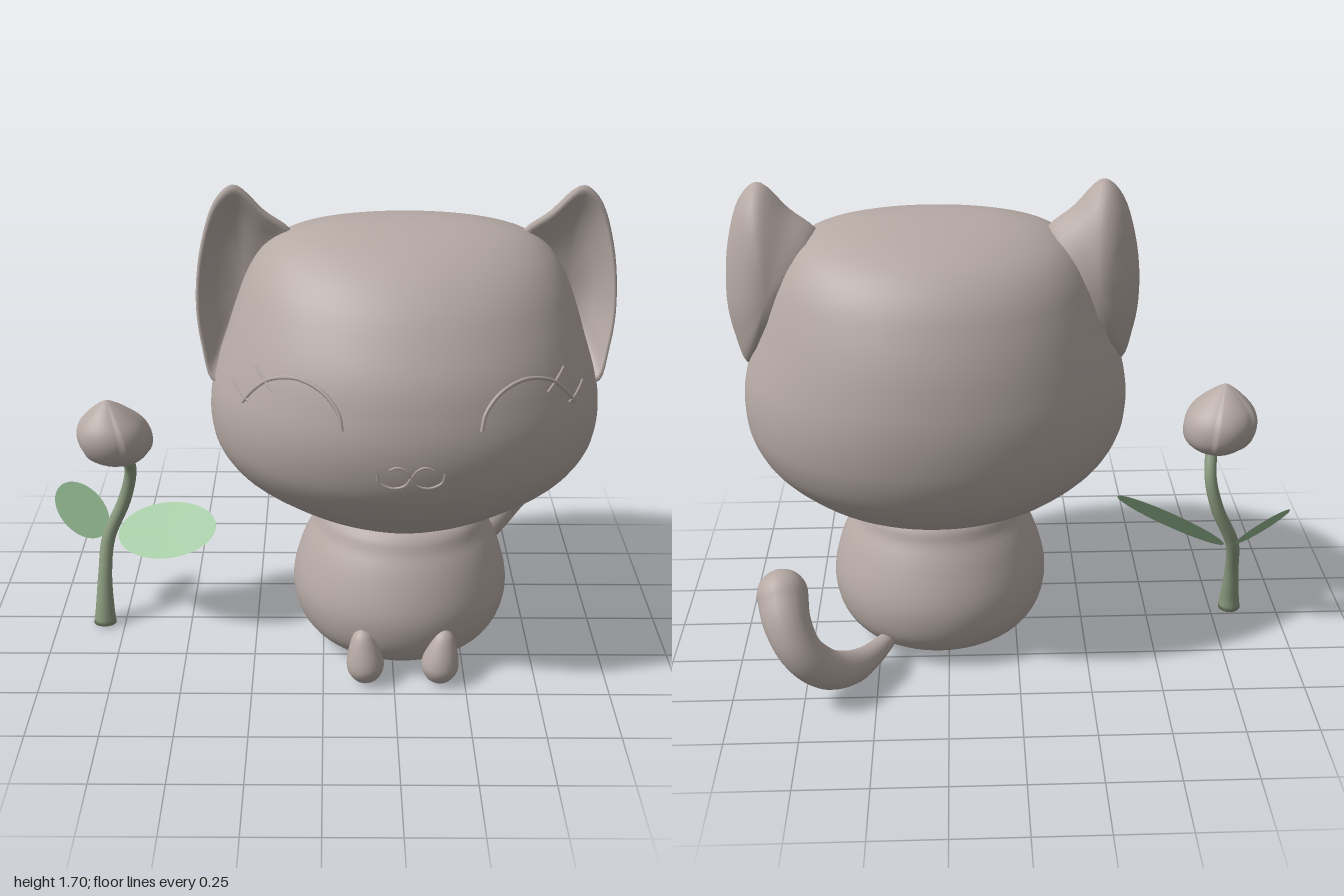
import * as THREE from 'three';

const V = (x, y, z) => new THREE.Vector3(x, y, z);
const CX = 0.28; // mirror plane of the cat

// Skin over closed rings of equal length; outside lies at ringDirection x loopDirection
function loft(rings) {
  const n = rings[0].length, pos = [], idx = [];
  rings.forEach(r => r.forEach(p => pos.push(p.x, p.y, p.z)));
  for (let i = 0; i < rings.length - 1; i++) for (let j = 0; j < n; j++) {
    const k = (j + 1) % n, a = i * n + j, b = i * n + k, c = a + n, d = b + n;
    idx.push(a, c, b, b, c, d);
  }
  const g = new THREE.BufferGeometry();
  g.setAttribute('position', new THREE.Float32BufferAttribute(pos, 3));
  g.setIndex(idx);
  g.computeVertexNormals();
  return g;
}

// Smoothly resample rows of [y, halfWidth, zFront, zBack]
function smoothRows(rows, steps) {
  const a = new THREE.CatmullRomCurve3(rows.map(r => V(r[0], r[1], 0)), false, 'catmullrom');
  const b = new THREE.CatmullRomCurve3(rows.map(r => V(r[2], r[3], 0)), false, 'catmullrom');
  return Array.from({ length: steps + 1 }, (_, i) => {
    const p = a.getPoint(i / steps), q = b.getPoint(i / steps);
    return [p.x, Math.max(0, p.y), q.x, q.y];
  });
}

// Stack of horizontal ellipses
function ellipseStack(rows, n = 64) {
  return loft(rows.map(([y, w, f, b]) => Array.from({ length: n }, (_, j) => {
    const t = j / n * Math.PI * 2;
    return V(CX + w * Math.cos(t), y, (f + b) / 2 + (f - b) / 2 * Math.sin(t));
  })));
}

// Tube of changing radius along [x, y, z, r] points, optionally with a round tip
function taperedTube(pts, roundTip, steps = 40, n = 24) {
  const curve = new THREE.CatmullRomCurve3(pts.map(p => V(p[0], p[1], p[2])));
  const radii = new THREE.CatmullRomCurve3(pts.map(p => V(p[3], 0, 0)), false, 'catmullrom');
  const fr = curve.computeFrenetFrames(steps);
  const ring = (c, r, i) => Array.from({ length: n }, (_, j) => {
    const t = j / n * Math.PI * 2;
    return c.clone().addScaledVector(fr.normals[i], r * Math.cos(t)).addScaledVector(fr.binormals[i], -r * Math.sin(t));
  });
  const rings = [ring(curve.getPointAt(0), 0, 0)];
  for (let i = 0; i <= steps; i++) {
    const u = i / steps;
    rings.push(ring(curve.getPointAt(u), radii.getPoint(curve.getUtoTmapping(u)).x, i));
  }
  const end = curve.getPointAt(1), r = pts[pts.length - 1][3];
  for (let k = 1; k <= 8; k++) {
    const t = k / 8 * Math.PI / 2;
    const c = end.clone().addScaledVector(fr.tangents[steps], roundTip ? r * Math.sin(t) : 0);
    rings.push(ring(c, k === 8 ? 0 : r * Math.cos(t), steps));
  }
  return loft(rings);
}

export function createModel() {
  const root = new THREE.Group();
  const material = (name, color, side = THREE.FrontSide) => {
    const m = new THREE.MeshStandardMaterial({ color, side });
    m.name = name;
    return m;
  };
  const clay = material('warm grey', 0xb5a9a4);
  const stemGreen = material('stem green', 0x8a9a7e);
  const leafGreen = material('leaf green', 0x9bc49a, THREE.DoubleSide);
  const add = (name, geo, mat = clay) => {
    const m = new THREE.Mesh(geo, mat);
    m.name = name;
    root.add(m);
    return m;
  };

  // Head
  const headRows = smoothRows([
    [0.53, 0, 0.03, 0.03], [0.531, 0.25, 0.27, -0.21], [0.56, 0.36, 0.35, -0.31], [0.61, 0.47, 0.42, -0.40],
    [0.7, 0.59, 0.52, -0.475], [0.8, 0.655, 0.59, -0.515], [0.9, 0.675, 0.622, -0.53], [1.0, 0.67, 0.63, -0.53],
    [1.1, 0.645, 0.615, -0.515], [1.2, 0.612, 0.585, -0.49], [1.3, 0.58, 0.53, -0.45], [1.4, 0.54, 0.46, -0.395],
    [1.48, 0.485, 0.375, -0.315], [1.54, 0.40, 0.275, -0.20], [1.575, 0.27, 0.18, -0.09],
    [1.588, 0.14, 0.115, -0.02], [1.592, 0, 0.05, 0.05]], 80);
  add('head', ellipseStack(headRows));

  // Body
  add('body', ellipseStack(smoothRows([
    [0.003, 0, 0.04, 0.04], [0.006, 0.15, 0.2, -0.12], [0.02, 0.25, 0.3, -0.22], [0.06, 0.325, 0.375, -0.30],
    [0.12, 0.37, 0.42, -0.345], [0.2, 0.39, 0.44, -0.36], [0.28, 0.385, 0.435, -0.35], [0.38, 0.355, 0.4, -0.31],
    [0.46, 0.315, 0.355, -0.265], [0.54, 0.26, 0.29, -0.21], [0.58, 0, 0.04, 0.04]], 50)));

  // Raised lines laid on the face; points are [offset from middle, y]
  const onFace = (dx, y) => {
    const i = headRows.findIndex((r, k) => k > 4 && r[0] >= y), a = headRows[i - 1], b = headRows[i];
    const t = (y - a[0]) / (b[0] - a[0]);
    const [w, f, k] = [1, 2, 3].map(c => a[c] + (b[c] - a[c]) * t);
    return V(CX + dx, y, (f + k) / 2 + (f - k) / 2 * Math.sqrt(Math.max(0, 1 - (dx / w) ** 2)));
  };
  const faceLine = (name, pts, s, r = 0.007) => {
    const flat = new THREE.CatmullRomCurve3(pts.map(p => V(p[0] * s, p[1], 0)));
    const path = new THREE.CatmullRomCurve3(flat.getPoints(24).map(p => onFace(p.x, p.y)));
    add(name, new THREE.TubeGeometry(path, 32, r, 6));
  };

  // Ear: domed back, rim, hollow front
  const rim = new THREE.CatmullRomCurve3([
    [0.38, 1.52, 0.03], [0.48, 1.61, 0.04], [0.58, 1.70, 0.05], [0.64, 1.655, 0.05], [0.695, 1.5, 0.06],
    [0.717, 1.3, 0.08], [0.70, 1.15, 0.11], [0.66, 1.03, 0.14], [0.55, 1.1, 0.12], [0.42, 1.35, 0.05],
  ].map(p => V(...p)), true).getPoints(48).slice(0, 48);
  const layers = [[0, 1, -0.13], [0.3, 1, -0.13], [0.6, 0.85, -0.13], [0.85, 0.6, -0.13], [0.95, 0.35, -0.13], [1, 0.08, -0.13],
    [0.98, 0, 0], [0.92, 0.05, 0], [0.8, 0.35, -0.02], [0.6, 0.8, -0.02], [0.3, 1, -0.02], [0, 1, -0.02]];
  const earGeometry = s => loft(layers.map(([k, w, z]) => {
    const ring = rim.map(p => V(CX + s * (0.56 + (p.x - 0.56) * k), 1.33 + (p.y - 1.33) * k, p.z + (z - p.z) * w));
    return s > 0 ? ring : ring.reverse();
  }));

  // Foot: upright teardrop
  const footProfile = new THREE.SplineCurve([[0, 0], [0.035, 0.008], [0.062, 0.045], [0.064, 0.085], [0.05, 0.14],
    [0.03, 0.185], [0, 0.205]].map(p => new THREE.Vector2(...p))).getPoints(28);
  footProfile.forEach(p => { p.x = Math.max(0, p.x); });

  for (const [side, s] of [['left', 1], ['right', -1]]) {
    add(side + 'Ear', earGeometry(s));
    faceLine(side + 'ClosedEye', [[0.22, 1.055], [0.232, 1.11], [0.28, 1.165], [0.36, 1.19], [0.45, 1.165], [0.51, 1.11], [0.545, 1.06]], s);
    faceLine(side + 'UpperLash', [[0.44, 1.13], [0.47, 1.155], [0.5, 1.185]], s, 0.005);
    faceLine(side + 'LowerLash', [[0.52, 1.07], [0.55, 1.085], [0.577, 1.11]], s, 0.005);
    faceLine(side + 'Mouth', [[0, 0.905], [0.02, 0.875], [0.06, 0.865], [0.1, 0.885], [0.108, 0.92]], s, 0.005);
    faceLine(side + 'MouthTop', [[0, 0.905], [0.02, 0.935], [0.045, 0.945], [0.07, 0.935]], s, 0.004);
    const foot = add(side + 'Foot', new THREE.LatheGeometry(footProfile, 28));
    foot.position.set(CX + s * 0.125, 0.008, 0.425);
    foot.rotation.set(-0.1, 0, -s * 0.1);
  }

  // Tail
  add('tail', taperedTube([[0.47, 0.09, -0.27, 0.03], [0.53, 0.085, -0.37, 0.045], [0.59, 0.095, -0.45, 0.06],
    [0.67, 0.145, -0.53, 0.07], [0.745, 0.235, -0.56, 0.073], [0.79, 0.33, -0.525, 0.08], [0.808, 0.4, -0.46, 0.087]], true));

  // Flower stem
  add('stem', taperedTube([[-0.825, 0.01, 0.045, 0.042], [-0.824, 0.06, 0.04, 0.036], [-0.82, 0.2, 0.01, 0.026],
    [-0.805, 0.33, -0.03, 0.025], [-0.74, 0.48, -0.05, 0.024], [-0.71, 0.6, -0.04, 0.022], [-0.715, 0.7, 0.01, 0.022]],
  false, 40, 16), stemGreen);

  // Leaves: flat ellipses given by centre and two half axes
  const leaf = (name, c, u, v) => {
    const n = u.clone().cross(v).normalize();
    const g = new THREE.CircleGeometry(1, 40).applyMatrix4(new THREE.Matrix4().makeBasis(u, v, n).setPosition(c));
    add(name, g, leafGreen);
  };
  leaf('largeLeaf', V(-0.58, 0.395, 0.03), V(0.19, 0.055, 0.09), V(0.016, 0.075, -0.08));
  leaf('smallLeaf', V(-0.905, 0.42, -0.08), V(-0.083, 0.085, -0.03), V(0.05, 0.03, -0.066));

  // Bud: five overlapping petals with stepped seams
  const budProfile = new THREE.SplineCurve([[0, 0.68], [0.06, 0.685], [0.115, 0.725], [0.132, 0.785], [0.115, 0.84],
    [0.065, 0.89], [0.02, 0.922], [0, 0.93]].map(p => new THREE.Vector2(...p))).getPoints(28);
  add('bud', loft(budProfile.map(p => Array.from({ length: 80 }, (_, j) => {
    const t = j / 80 * Math.PI * 2, r = Math.max(0, p.x) * (0.97 + 0.06 * (j % 16) / 15);
    const lean = (p.y - 0.78) * 0.12;
    return V(-0.747 - lean + r * Math.cos(t), p.y, 0.045 + lean + r * Math.sin(t));
  }))));

  return root;
}
